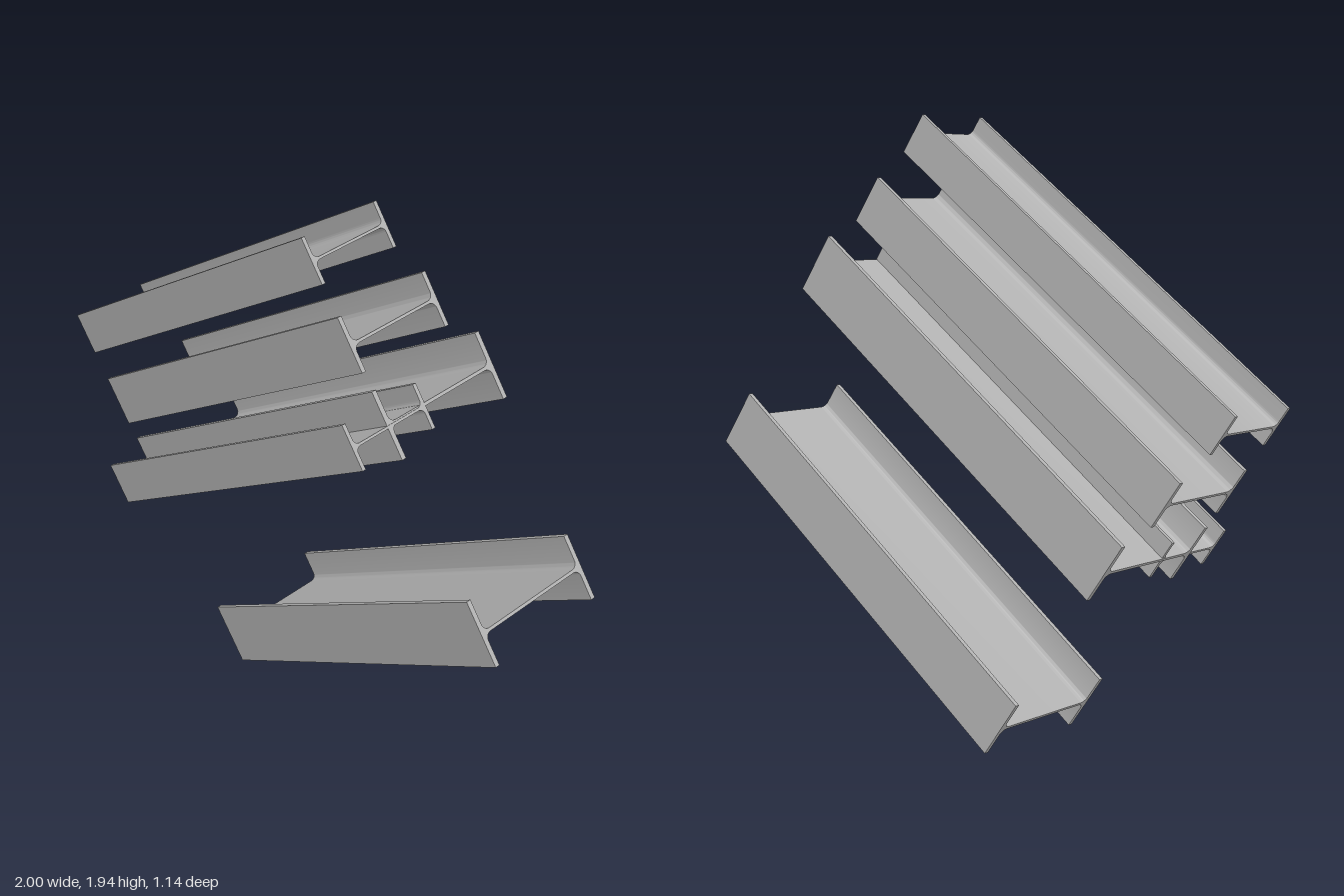
import * as THREE from 'three';
import { toCreasedNormals } from 'three/addons/utils/BufferGeometryUtils.js';

const LENGTH = 1.484;

// I-section: depth h along x, flange width b along y, root fillets of radius r
function sectionShape({ h, b, tw, tf, r }) {
  const H = h / 2, B = b / 2, inner = H - tf;
  const cx = inner - r, cy = tw / 2 + r, q = Math.PI / 2;
  const s = new THREE.Shape();
  s.moveTo(H, -B);
  s.lineTo(H, B);
  s.lineTo(inner, B);
  s.absarc(cx, cy, r, 0, -q, true);
  s.absarc(-cx, cy, r, -q, -2 * q, true);
  s.lineTo(-inner, B);
  s.lineTo(-H, B);
  s.lineTo(-H, -B);
  s.lineTo(-inner, -B);
  s.absarc(-cx, -cy, r, 2 * q, q, true);
  s.absarc(cx, -cy, r, q, 0, true);
  s.lineTo(inner, -B);
  s.closePath();
  return s;
}

function beamGeometry(section) {
  const g = new THREE.ExtrudeGeometry(sectionShape(section), {
    depth: LENGTH, bevelEnabled: false, curveSegments: 8,
  });
  g.translate(0, 0, -LENGTH / 2);
  return toCreasedNormals(g, 0.5);
}

export function createModel() {
  const group = new THREE.Group();
  group.name = 'steelBeams';
  const steel = new THREE.MeshStandardMaterial({ color: 0xb2b2b2 });
  steel.name = 'steelGrey';

  // three standard section sizes
  const large = beamGeometry({ h: 0.43, b: 0.215, tw: 0.0102, tf: 0.0153, r: 0.0215 });
  const medium = beamGeometry({ h: 0.343, b: 0.172, tw: 0.0089, tf: 0.014, r: 0.0215 });
  const small = beamGeometry({ h: 0.286, b: 0.143, tw: 0.008, tf: 0.0122, r: 0.0172 });

  // shared tilt: z runs along the beams, x across the web
  const along = new THREE.Vector3(0.771, 0.492, 0.406).normalize();
  const up = new THREE.Vector3().crossVectors(along, new THREE.Vector3(0.4, 0.125, -0.909)).normalize();
  const across = new THREE.Vector3().crossVectors(up, along);
  const tilt = new THREE.Matrix4().makeBasis(across, up, along);

  const beams = [
    ['bottomLargeBeam', large, 0.287, 0.488, 0.006],
    ['middleLargeBeam', large, -0.05, 1.065, -0.062],
    ['middleSmallBeam', small, -0.13, 1.037, 0.13],
    ['upperMediumBeam', medium, -0.194, 1.278, -0.043],
    ['topSmallBeam', small, -0.335, 1.497, -0.042],
  ];
  for (const [name, geometry, x, y, z] of beams) {
    const beam = new THREE.Mesh(geometry, steel);
    beam.name = name;
    beam.quaternion.setFromRotationMatrix(tilt);
    beam.position.set(x, y, z);
    group.add(beam);
  }
  return group;
}
